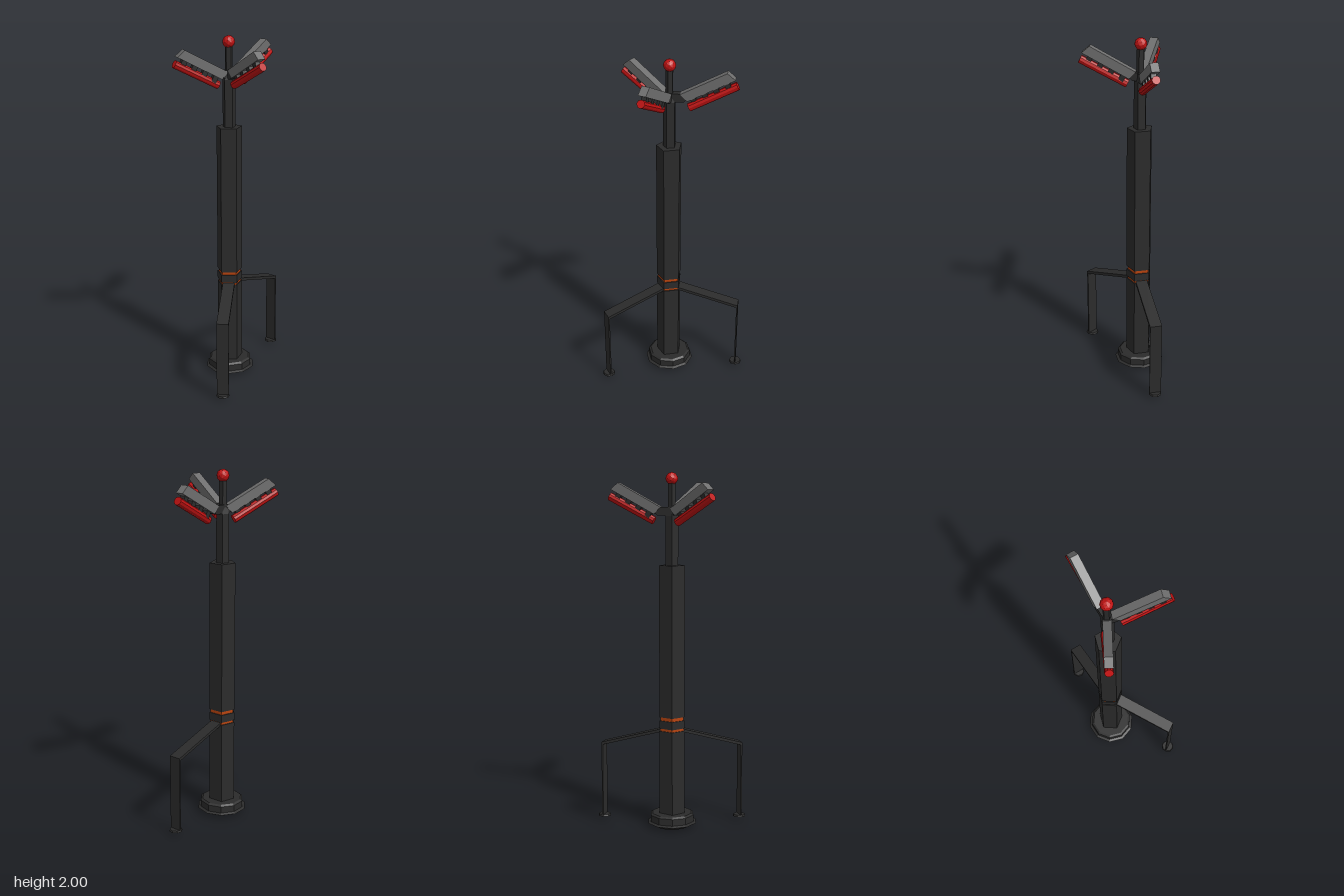
import * as THREE from 'three';

const mat = (color) => new THREE.MeshStandardMaterial({ color, flatShading: true });
const dark = mat(0x2b2b2b);
const grey = mat(0x6e6e6e);
const red = mat(0xc01212);
const orange = mat(0xb8440f);

const FIVE = THREE.MathUtils.degToRad(9); // turn of the five-sided column

function add(parent, name, geometry, material) {
  const mesh = new THREE.Mesh(geometry, material);
  mesh.name = name;
  parent.add(mesh);
  return mesh;
}

// Upright prism or taper between two heights
function prism(parent, name, r0, r1, y0, y1, material, sides = 5) {
  const g = new THREE.CylinderGeometry(r1, r0, y1 - y0, sides, 1, false, FIVE);
  return add(parent, name, g.translate(0, (y0 + y1) / 2, 0), material);
}

// Side outline (distance outwards, height) extruded to a width
function plate(parent, name, points, width, material) {
  const shape = new THREE.Shape(points.map(([x, y]) => new THREE.Vector2(x, y)));
  const g = new THREE.ExtrudeGeometry(shape, { depth: width, bevelEnabled: false });
  return add(parent, name, g.translate(0, 0, -width / 2), material);
}

// Round bar between two points
function bar(parent, name, a, b, r, material) {
  const d = b.clone().sub(a);
  const mesh = add(parent, name, new THREE.CylinderGeometry(r, r, d.length(), 10), material);
  mesh.position.copy(a).add(b).multiplyScalar(0.5);
  mesh.quaternion.setFromUnitVectors(new THREE.Vector3(0, 1, 0), d.normalize());
}

// Group whose own +x points outwards along (dx, dz)
function spoke(parent, name, dx, dz) {
  const g = new THREE.Group();
  g.name = name;
  g.rotation.y = Math.atan2(-dz, dx);
  parent.add(g);
  return g;
}

export function createModel() {
  const model = new THREE.Group();
  const tower = new THREE.Group();
  tower.name = 'tower';
  tower.position.set(-0.041, 0, -0.083);
  model.add(tower);

  // Ten-sided base with a thin flange
  const baseProfile = [[0, 0], [0.1, 0], [0.143, 0.022], [0.127, 0.03], [0.127, 0.068], [0.115, 0.077], [0, 0.077]]
    .map(([x, y]) => new THREE.Vector2(x, y));
  add(tower, 'base', new THREE.LatheGeometry(baseProfile, 10, FIVE), dark);

  // Five-sided column with two inset bands
  prism(tower, 'lowerColumn', 0.075, 0.075, 0.07, 0.555, dark);
  prism(tower, 'lowerBand', 0.068, 0.068, 0.55, 0.575, orange);
  prism(tower, 'collar', 0.075, 0.075, 0.57, 0.615, dark);
  prism(tower, 'upperBand', 0.068, 0.068, 0.61, 0.64, orange);
  prism(tower, 'upperColumn', 0.075, 0.075, 0.635, 1.49, dark);

  // Mast and ball
  prism(tower, 'mast', 0.037, 0.037, 1.49, 1.76, dark);
  prism(tower, 'mastTaper', 0.037, 0.022, 1.76, 1.81, dark);
  prism(tower, 'mastTip', 0.022, 0.022, 1.81, 1.95, dark);
  add(tower, 'ball', new THREE.IcosahedronGeometry(0.035, 1), red).position.y = 1.965;

  // Two flat bent legs with disc feet
  for (const [dx, dz] of [[0.37, -0.184], [-0.207, 0.352]]) {
    const leg = spoke(tower, 'leg', dx, dz);
    const R = Math.hypot(dx, dz);
    plate(leg, 'legStrut', [[0.03, 0.573], [R + 0.004, 0.465], [R + 0.004, 0.025],
      [R - 0.004, 0.025], [R - 0.004, 0.45], [0.03, 0.556]], 0.068, dark);
    prism(leg, 'foot', 0.038, 0.034, 0.02, 0.03, dark, 8).position.x = R;
  }

  // Three raised arms, each a grey panel over a red tube
  const arms = [
    [-0.159, -0.009, 0, 0],
    [0.169, -0.081, 0.05, 0.008],
    [0.022, 0.158, 0.015, 0.012],
  ];
  for (const [dx, dz, out, up] of arms) {
    const arm = spoke(tower, 'arm', dx, dz);
    plate(arm, 'armBracket', [[0, 1.76], [0, 1.81], [0.03 + out, 1.81], [0.05 + out, 1.785], [0.03 + out, 1.765]], 0.04, dark);
    const head = new THREE.Group();
    head.name = 'armHead';
    head.position.set(out, up, 0);
    arm.add(head);
    plate(head, 'panel', [[0.01, 1.802], [0.26, 1.937], [0.304, 1.9], [0.048, 1.763]], 0.046, grey);
    bar(head, 'tube', new THREE.Vector3(0.058, 1.727, 0.013), new THREE.Vector3(0.316, 1.862, 0), 0.023, red);
    // Clips between the panel and the tube
    for (let i = 0; i < 4; i++) {
      const s = 0.085 + i * 0.06;
      const clip = add(head, 'clip', new THREE.BoxGeometry(0.03, 0.04, 0.03), dark);
      clip.position.set(s, 1.757 + (s - 0.07) * 0.53, 0.004);
      clip.rotation.z = 0.49;
    }
  }
  return model;
}
